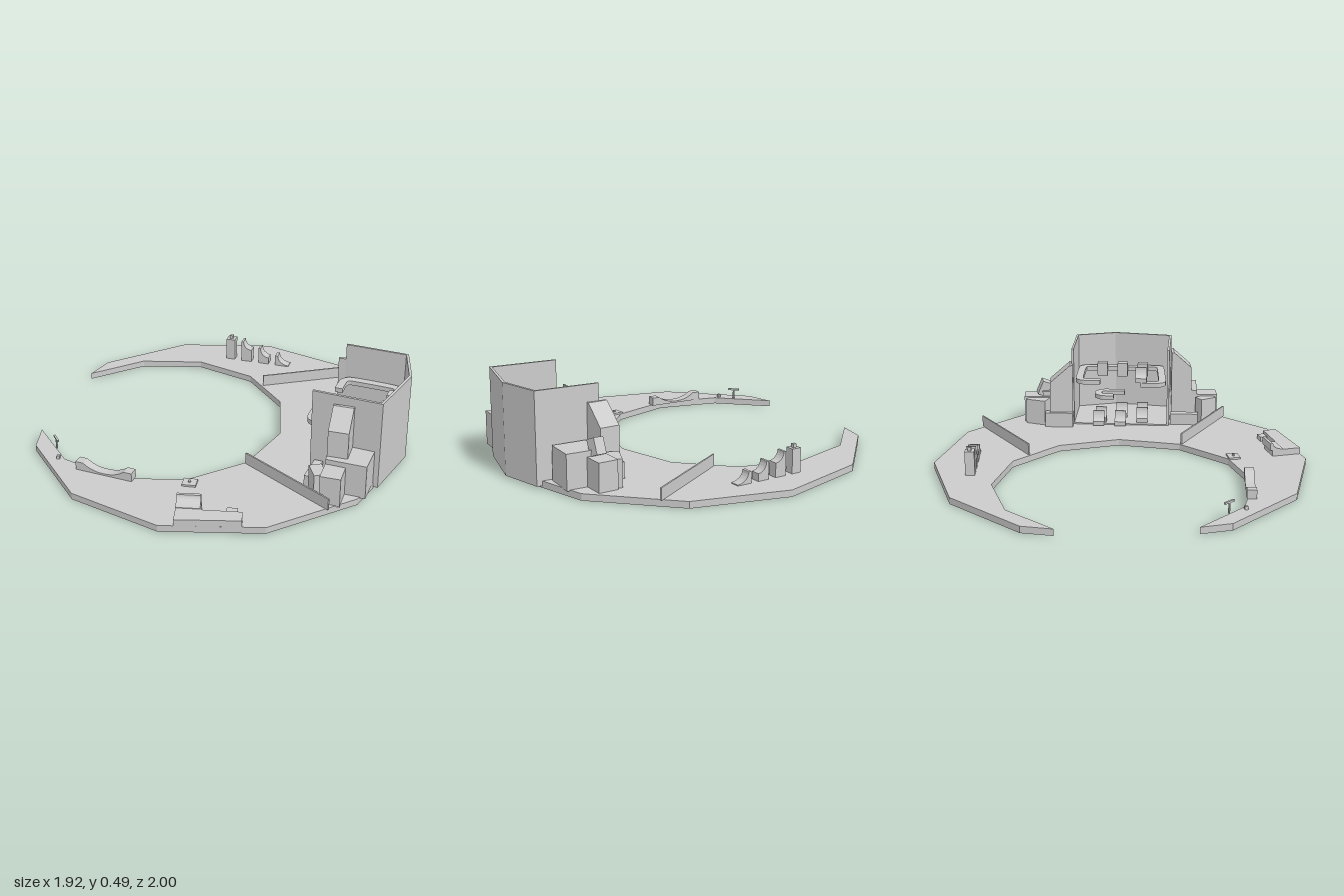
import * as THREE from 'three';

const mat = new THREE.MeshStandardMaterial({ color: 0xcccccc, flatShading: true, side: THREE.DoubleSide });

export function createModel() {
  const root = new THREE.Group();

  const add = (name, geo, x = 0, y = 0, z = 0, turn = 0) => {
    const m = new THREE.Mesh(geo, mat);
    m.name = name;
    m.position.set(x, y, z);
    m.rotation.y = turn;
    root.add(m);
    return m;
  };
  // Upright prism over a ground outline of [x, z] points
  const prism = (name, pts, y0, y1) => {
    const shape = new THREE.Shape(pts.map(([x, z]) => new THREE.Vector2(x, -z)));
    const geo = new THREE.ExtrudeGeometry(shape, { depth: y1 - y0, bevelEnabled: false });
    return add(name, geo.rotateX(-Math.PI / 2).translate(0, y0, 0));
  };
  // Box given by its centre, ground height and size
  const box = (name, x, z, w, d, y0, y1, turn = 0) =>
    add(name, new THREE.BoxGeometry(w, y1 - y0, d), x, (y0 + y1) / 2, z, turn);
  // Side profile in x/y, extruded and centred along z
  const profile = (name, pts, depth, x, y, z, turn = 0) => {
    const shape = new THREE.Shape(pts.map(([a, b]) => new THREE.Vector2(a, b)));
    const geo = new THREE.ExtrudeGeometry(shape, { depth, bevelEnabled: false });
    return add(name, geo.translate(0, 0, -depth / 2), x, y, z, turn);
  };
  // Concave quarter ramp, high at its -x side
  const ramp = (name, w, low, high, depth, x, y, z, turn = 0) => {
    const pts = [[-w / 2, 0], [w / 2, 0]];
    for (let i = 0; i <= 6; i++) {
      const a = (i / 6) * Math.PI / 2;
      pts.push([w / 2 - 0.8 * w * Math.sin(a), low + (high - low) * (1 - Math.cos(a))]);
    }
    pts.push([-w / 2, high]);
    return profile(name, pts, depth, x, y, z, turn);
  };
  // Flat strip of constant width that follows a smooth path of [x, z] points
  const strip = (name, path, width, y0, y1) => {
    const curve = new THREE.CatmullRomCurve3(path.map(([x, z]) => new THREE.Vector3(x, 0, z)), false, 'catmullrom', 0.25);
    const left = [], right = [];
    for (let i = 0; i <= 40; i++) {
      const p = curve.getPoint(i / 40), t = curve.getTangent(i / 40);
      left.push([p.x - t.z * width / 2, p.z + t.x * width / 2]);
      right.unshift([p.x + t.z * width / 2, p.z - t.x * width / 2]);
    }
    return prism(name, [...left, ...right], y0, y1);
  };

  // Crescent base: two overlapping twelve-sided rings
  const ring = (cx, r, from, to) => {
    const pts = [];
    for (let k = from; from < to ? k <= to : k >= to; k += Math.sign(to - from)) {
      const a = k * Math.PI / 6;
      pts.push([cx + r * Math.cos(a), r * Math.sin(a)]);
    }
    return pts;
  };
  prism('crescentBase', [...ring(-0.06, 1, -5, 5), [-0.965, 0.34], ...ring(-0.39, 0.67, 4, -4), [-0.965, -0.34]], 0, 0.035);

  // Tall surrounding wall, open to the inside of the crescent
  const wall = [[0.515, 0.298], [0.875, 0.335], [0.96, 0], [0.905, -0.235], [0.57, -0.265]];
  const inner = wall.map(([x, z], i) => [i % 4 ? 0.72 + (x - 0.72) * 0.94 : x, z * 0.955]);
  prism('hallWall', [...wall, ...inner.reverse()], 0.01, 0.49);
  prism('hallFloor', wall, 0.02, 0.042);

  // Low dividing walls
  for (const [x0, z0, x1, z1] of [[0.045, -0.497, 0.545, -0.785], [0.19, 0.345, 0.69, 0.635]]) {
    box('dividingWall', (x0 + x1) / 2, (z0 + z1) / 2, Math.hypot(x1 - x0, z1 - z0), 0.008,
      0.035, 0.098, -Math.atan2(z1 - z0, x1 - x0));
  }

  // Raised curved counters in the hall
  strip('upperCounter', [[0.505, 0.13], [0.5, 0.23], [0.53, 0.258], [0.8, 0.265], [0.84, 0.24], [0.872, -0.16],
    [0.84, -0.2], [0.61, -0.22], [0.575, -0.19], [0.568, -0.1]], 0.042, 0.28, 0.305);
  strip('lowerCounter', [[0.685, -0.02], [0.69, -0.08], [0.72, -0.108], [0.765, -0.105], [0.79, -0.07], [0.78, 0.05]],
    0.042, 0.15, 0.175);
  // Seats with curved backs, on the floor and on the counter
  for (const [x, z, y] of [[0.535, -0.11, 0.042], [0.605, -0.095, 0.042], [0.525, 0.015, 0.042], [0.585, 0.145, 0.042],
    [0.685, 0.03, 0.042], [0.68, 0.15, 0.042], [0.515, 0.135, 0.305]]) {
    ramp('seat', 0.05, 0.025, 0.08, 0.065, x, y, z, Math.PI - 0.09);
  }
  for (const [x, z] of [[0.855, -0.08], [0.84, 0.04], [0.825, 0.16]]) {
    box('stool', x, z, 0.045, 0.06, 0.25, 0.33, -0.09);
  }

  // Stepped blocks outside the hall, +z side
  box('sideBlock', 0.74, 0.395, 0.21, 0.165, 0.03, 0.215, -0.06);
  box('frontBlock', 0.682, 0.515, 0.105, 0.15, 0.03, 0.188);
  box('cornerBlock', 0.605, 0.52, 0.065, 0.1, 0.03, 0.18, 0.5);
  box('lowBlock', 0.555, 0.39, 0.045, 0.16, 0.03, 0.1, -0.1);
  const slopeA = [[-0.32, 0.03], [-0.445, 0.03], [-0.435, 0.355], [-0.335, 0.445], [-0.32, 0.445]];
  profile('slopedTower', slopeA, 0.105, 0.682, 0, 0, Math.PI / 2);

  // Stepped blocks outside the hall, -z side
  box('sideBlock', 0.735, -0.35, 0.205, 0.165, 0.03, 0.215, -0.06);
  box('frontBlock', 0.682, -0.47, 0.105, 0.15, 0.03, 0.185);
  box('cornerBlock', 0.61, -0.465, 0.075, 0.12, 0.03, 0.18, -0.4);
  box('lowBlock', 0.535, -0.34, 0.045, 0.16, 0.03, 0.12, -0.1);
  const slopeB = [[0.26, 0.03], [0.395, 0.03], [0.39, 0.3], [0.275, 0.4], [0.26, 0.4]];
  profile('slopedTower', slopeB, 0.105, 0.582, 0, 0, Math.PI / 2);
  const tilted = box('tiltedBlock', 0.68, -0.43, 0.06, 0.055, 0.185, 0.27, 0.2);
  tilted.rotation.x = 0.4;

  // Row of small shapes: a tower and three shrinking ramps
  box('rowTower', -0.233, -0.79, 0.052, 0.05, 0.035, 0.163);
  box('rowTowerCap', -0.233, -0.79, 0.018, 0.018, 0.163, 0.182);
  ramp('rowRamp', 0.062, 0.075, 0.125, 0.052, -0.134, 0.035, -0.79);
  ramp('rowRamp', 0.062, 0.04, 0.095, 0.052, -0.028, 0.035, -0.79);
  ramp('rowRamp', 0.082, 0.005, 0.06, 0.052, 0.085, 0.035, -0.79);

  // Angled ledge with a quarter ramp and a small cube
  prism('ledge', [[-0.02, 0.825], [0.1, 0.8], [0.114, 0.862], [0.312, 0.822], [0.33, 0.895], [0.015, 0.98]], 0.035, 0.07);
  ramp('ledgeRamp', 0.075, 0.005, 0.04, 0.12, 0.042, 0.068, 0.835, -Math.PI / 2 + 0.21);
  box('ledgeCube', 0.255, 0.808, 0.055, 0.04, 0.035, 0.06, 0.21);

  // Shallow half pipe
  const pipe = [[-0.158, 0], [0.158, 0], [0.158, 0.046], [0.115, 0.046]];
  for (let i = 1; i <= 14; i++) {
    const u = 1 - i / 7;
    pipe.push([0.115 * u, 0.01 + 0.036 * Math.pow(Math.abs(u), 2.4)]);
  }
  pipe.push([-0.158, 0.046]);
  profile('halfPipe', pipe, 0.05, -0.468, 0.035, 0.643, -0.085);

  // Flat plate with a button
  box('plate', -0.028, 0.61, 0.072, 0.062, 0.035, 0.045, 0.12);
  add('plateButton', new THREE.CylinderGeometry(0.008, 0.008, 0.008, 8), -0.028, 0.049, 0.61);

  // Post with a crossbar and a nearby cube
  add('post', new THREE.CylinderGeometry(0.005, 0.005, 0.06, 8), -0.805, 0.065, 0.495);
  box('crossbar', -0.805, 0.495, 0.065, 0.01, 0.09, 0.1, -0.85);
  box('smallCube', -0.757, 0.583, 0.016, 0.016, 0.035, 0.053, 0.2);

  return root;
}
